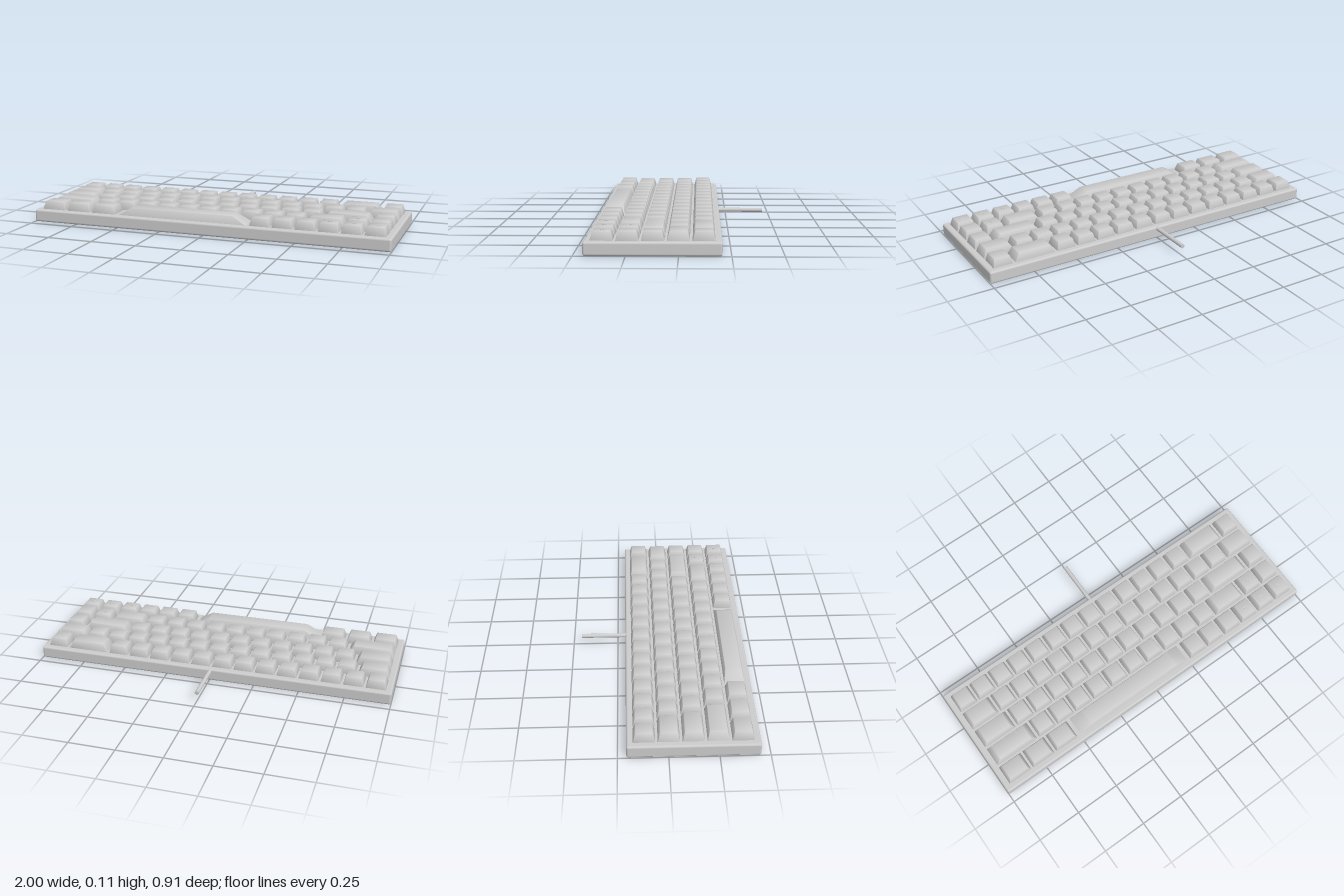
import * as THREE from 'three';
import { RoundedBoxGeometry } from 'three/addons/geometries/RoundedBoxGeometry.js';
import { mergeVertices, toCreasedNormals } from 'three/addons/utils/BufferGeometryUtils.js';

const UNIT = 0.1216;              // pitch of a one-unit key
const GAP = 0.0095;
const KEY_BASE = 0.062, KEY_TOP = 0.112;
const LEFT = -8 * UNIT, BACK_ROW = -0.12;

const ones = (n) => Array(n).fill(1);
// Key widths in units, from the back row to the front row
const ROWS = [
  [...ones(13), 2, 1],
  [1.5, ...ones(13), 1.5],
  [1.75, ...ones(11), 2.25, 1],
  [2.25, ...ones(10), 1.75, 1, 1],
  [1.25, 1.25, 1.25, 6.25, ...ones(6)],
];

const material = new THREE.MeshStandardMaterial({ color: 0xcccccc });

function add(parent, name, geometry, x = 0, y = 0, z = 0) {
  const mesh = new THREE.Mesh(geometry, material);
  mesh.name = name;
  mesh.position.set(x, y, z);
  parent.add(mesh);
  return mesh;
}

// Softly rounded block narrowed towards its top in proportion to its size
function keycapGeometry(units) {
  const h = KEY_TOP - KEY_BASE;
  let geo = new RoundedBoxGeometry(units * UNIT - GAP, h, UNIT - GAP, 2, 0.003);
  const p = geo.attributes.position;
  for (let i = 0; i < p.count; i++) {
    const s = 1 - 0.23 * (p.getY(i) / h + 0.5);
    p.setX(i, p.getX(i) * s);
    p.setZ(i, p.getZ(i) * s);
  }
  geo.deleteAttribute('normal');
  geo.deleteAttribute('uv');
  geo = mergeVertices(geo, 1e-5);
  return toCreasedNormals(geo, 0.7);
}

export function createModel() {
  const root = new THREE.Group();
  root.name = 'keyboard';

  // Case
  add(root, 'case', new RoundedBoxGeometry(2, 0.068, 0.66, 3, 0.011), 0, 0.034, 0.123);

  // Keycaps, one shared geometry per width
  const keys = new THREE.Group();
  keys.name = 'keys';
  root.add(keys);
  const cache = {};
  ROWS.forEach((row, r) => {
    let x = LEFT;
    const z = BACK_ROW + r * UNIT;
    row.forEach((units) => {
      cache[units] ??= keycapGeometry(units);
      add(keys, units > 6 ? 'spaceBar' : 'keycap', cache[units],
        x + units * UNIT / 2, (KEY_BASE + KEY_TOP) / 2, z);
      x += units * UNIT;
    });
  });

  // Raised triangles on the four direction keys: column, row, heading
  const triangle = new THREE.CylinderGeometry(0.012, 0.012, 0.004, 3);
  [[14.5, 3, Math.PI], [13.5, 4, -Math.PI / 2], [14.5, 4, 0], [15.5, 4, Math.PI / 2]]
    .forEach(([column, r, heading]) => {
      add(keys, 'arrowMark', triangle, LEFT + column * UNIT, KEY_TOP, BACK_ROW + r * UNIT)
        .rotation.y = heading;
    });

  // Cable stub at the back
  const cable = new THREE.CylinderGeometry(0.0115, 0.0115, 0.263, 20).rotateX(Math.PI / 2);
  add(root, 'cable', cable, -0.003, 0.0555, -0.3215);

  return root;
}
